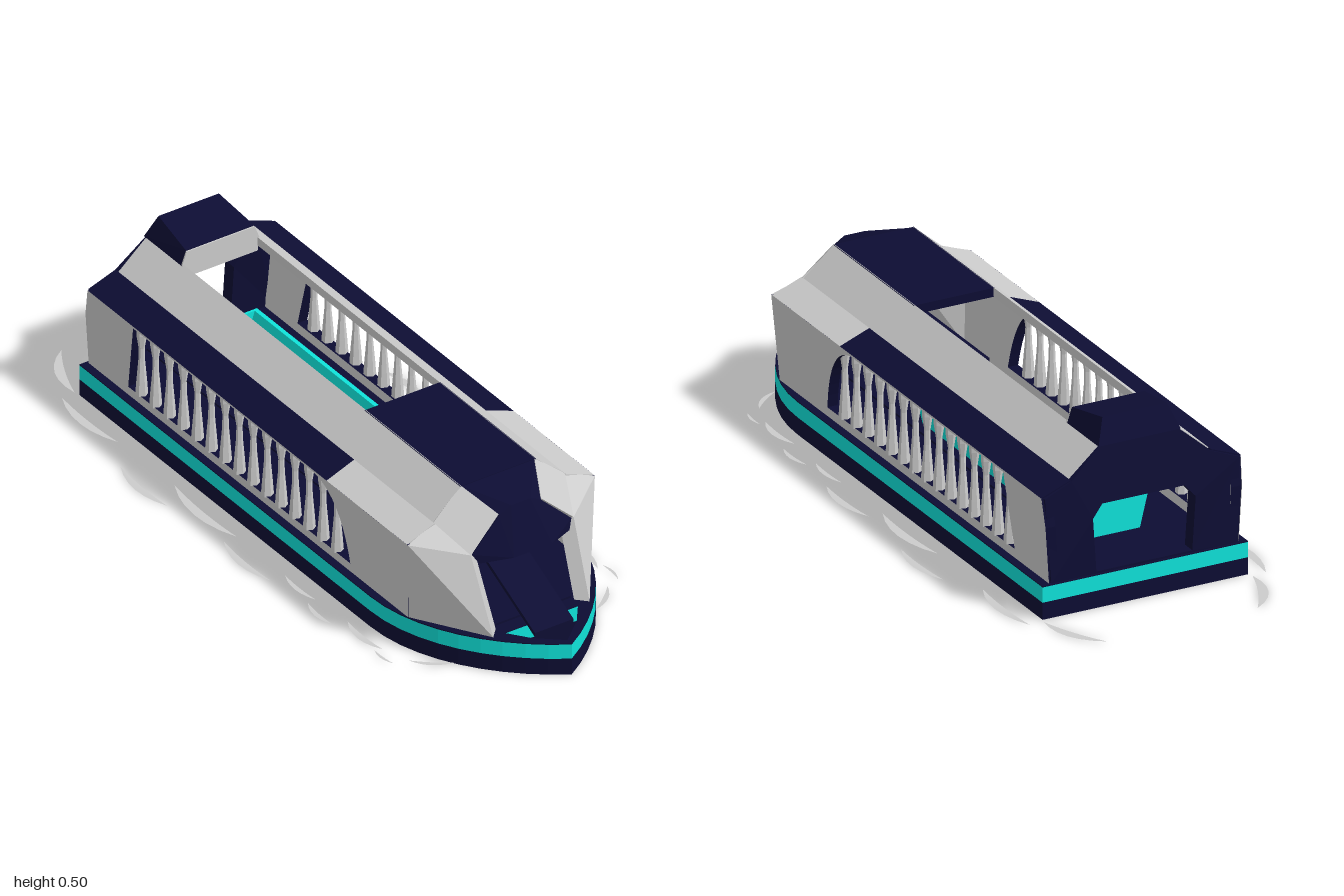
import * as THREE from 'three';
import { ConvexGeometry } from 'three/addons/geometries/ConvexGeometry.js';

const mat = (color) => new THREE.MeshStandardMaterial({ color, flatShading: true, side: THREE.DoubleSide });
const grey = mat(0xcccccc);
const navy = mat(0x0d0d33);
const teal = mat(0x0fe3da);

const V = (p) => new THREE.Vector3(...p);
const shapeOf = (pts) => new THREE.Shape(pts.map(([x, y]) => new THREE.Vector2(x, y)));
const extrude = (shape, depth) =>
  new THREE.ExtrudeGeometry(shape, { depth, bevelEnabled: false, curveSegments: 10 });
const flip = (p) => [-p[0], p[1], p[2]];

// Convex block; with "both" set the points are repeated on the other side
function block(points, both = false) {
  return new ConvexGeometry((both ? [...points, ...points.map(flip)] : points).map(V));
}

// Thin panel: a face plus the same face moved inwards
function panel(points, [dx, dy, dz]) {
  return block([...points, ...points.map(([x, y, z]) => [x + dx, y + dy, z + dz])]);
}

// Mirrored copy across x = 0, with the corner order turned round
function mirrored(geometry) {
  const g = geometry.index ? geometry.toNonIndexed() : geometry.clone();
  const groups = geometry.groups;
  g.scale(-1, 1, 1);
  for (const a of Object.values(g.attributes)) {
    for (let i = 0; i < a.count; i += 3) {
      for (let k = 0; k < a.itemSize; k++) {
        const t = a.getComponent(i + 1, k);
        a.setComponent(i + 1, k, a.getComponent(i + 2, k));
        a.setComponent(i + 2, k, t);
      }
    }
  }
  g.groups = groups.map((o) => ({ ...o }));
  g.computeVertexNormals();
  return g;
}

function hullShape(withWell) {
  const s = new THREE.Shape();
  s.moveTo(-0.3, -0.8);
  s.lineTo(0.3, -0.8);
  s.lineTo(0.3, 0.52);
  s.bezierCurveTo(0.3, 0.72, 0.17, 0.9, 0, 1);
  s.bezierCurveTo(-0.17, 0.9, -0.3, 0.72, -0.3, 0.52);
  s.closePath();
  if (withWell) {
    s.holes.push(new THREE.Path([[-0.115, 0.86], [0.115, 0.86], [0.07, 0.92], [0, 0.98], [-0.07, 0.92]]
      .map(([x, y]) => new THREE.Vector2(x, y))));
  }
  return s;
}

export function createModel() {
  const root = new THREE.Group();
  const add = (name, geometry, material, parent = root) => {
    const mesh = new THREE.Mesh(geometry, material);
    mesh.name = name;
    parent.add(mesh);
    return mesh;
  };
  const addPair = (name, geometry, material) => {
    add(name + 'Left', geometry, material);
    add(name + 'Right', mirrored(geometry), material);
  };

  // Hull in stacked layers, with an open well in the bow
  const layer = (name, y0, y1, material) =>
    add(name, extrude(hullShape(true), y1 - y0).rotateX(Math.PI / 2).translate(0, y1, 0), material);
  layer('lowerHull', 0, 0.048, navy);
  layer('hullBand', 0.048, 0.091, teal);
  layer('deckRim', 0.091, 0.094, navy);
  const bottom = navy.clone();
  bottom.side = THREE.FrontSide;
  add('hullBottom', new THREE.ShapeGeometry(hullShape(false), 10).rotateX(Math.PI / 2), bottom);
  add('deck', new THREE.BoxGeometry(0.24, 0.01, 1.6).translate(0, 0.095, 0.02), navy);

  // Side walls, each with one long window arched at its front end
  const wall = shapeOf([[-0.79, 0.094], [0.66, 0.094], [0.68, 0.33], [-0.775, 0.33], [-0.79, 0.25]]);
  const win = new THREE.Path();
  win.moveTo(0.4, 0.12);
  win.quadraticCurveTo(0.37, 0.31, 0.25, 0.324);
  win.lineTo(-0.57, 0.324);
  win.lineTo(-0.61, 0.12);
  win.closePath();
  wall.holes.push(win);
  const wallGeo = extrude(wall, 0.03).rotateY(-Math.PI / 2).translate(0.277, 0, 0);
  const wp = wallGeo.attributes.position;
  for (let i = 0; i < wp.count; i++) wp.setX(i, wp.getX(i) + (wp.getY(i) - 0.094) * 0.06);
  wallGeo.computeVertexNormals();
  addPair('sideWall', wallGeo, [grey, navy]);
  // Grey end strips close the wall over its rear edge
  addPair('rearEdge', panel([[0.277, 0.094, -0.792], [0.287, 0.25, -0.792], [0.291, 0.33, -0.777]],
    [-0.002, 0, 0.03]), grey);

  // Balusters in the windows
  const profile = [[0, 0.118], [0.017, 0.118], [0.014, 0.16], [0.009, 0.22], [0.008, 0.26], [0.014, 0.3], [0.014, 0.326], [0, 0.326]]
    .map(([r, y]) => new THREE.Vector2(r, y));
  const baluster = new THREE.LatheGeometry(profile, 6);
  for (const side of [1, -1]) {
    const row = new THREE.Group();
    row.name = side > 0 ? 'balustersLeft' : 'balustersRight';
    for (let i = 0; i < 15; i++) {
      add('baluster', baluster, grey, row).position.set(side * 0.268, 0, 0.325 - i * 0.0635);
    }
    root.add(row);
  }

  // Roof shoulders: a flat outer band and a steeper inner slope
  const band = [[0.291, 0.33], [0.205, 0.363], [0.195, 0.345], [0.26, 0.32]];
  const slope = [[0.205, 0.363], [0.115, 0.44], [0.115, 0.415], [0.195, 0.345]];
  const along = (pts, z0, z1) => extrude(shapeOf(pts), z1 - z0).translate(0, 0, z0);
  addPair('roofBandRear', along(band, -0.775, 0.31), navy);
  addPair('roofBandFront', along(band, 0.31, 0.675), grey);
  addPair('roofSlope', along(slope, -0.762, 0.665), grey);

  // Rear wall with a doorway, leaning in above
  const rear = shapeOf([[-0.272, 0.094], [0.272, 0.094], [0.284, 0.328], [0.204, 0.36], [0.115, 0.438],
    [-0.115, 0.438], [-0.204, 0.36], [-0.284, 0.328]]);
  rear.holes.push(new THREE.Path([[-0.14, 0.1], [0.14, 0.1], [0.15, 0.25], [0.12, 0.285], [-0.12, 0.285], [-0.15, 0.25]]
    .map(([x, y]) => new THREE.Vector2(x, y))));
  const rearGeo = extrude(rear, 0.04).translate(0, 0, -0.795);
  const rp = rearGeo.attributes.position;
  for (let i = 0; i < rp.count; i++) rp.setZ(i, rp.getZ(i) + Math.max(0, rp.getY(i) - 0.25) * 0.15);
  rearGeo.computeVertexNormals();
  add('rearWall', rearGeo, navy);

  // Raised rear roof with a pale front face
  add('rearRoof', block([[0.12, 0.437, -0.77], [0.12, 0.437, -0.6], [0.094, 0.504, -0.742], [0.106, 0.479, -0.6]], true), navy);
  add('rearRoofFace', block([[0.115, 0.4, -0.6], [0.12, 0.44, -0.6], [0.106, 0.477, -0.6],
    [0.115, 0.4, -0.596], [0.12, 0.44, -0.596], [0.106, 0.477, -0.596]], true), grey);

  // Front roof and the hood that falls away from it
  add('frontRoof', new THREE.BoxGeometry(0.235, 0.025, 0.435).translate(0, 0.4265, 0.4475), navy);
  add('frontRoofSlope', block([[0.115, 0.439, 0.66], [0.115, 0.414, 0.66], [0.065, 0.385, 0.765], [0.06, 0.37, 0.74], [0.03, 0.405, 0.768]], true), navy);
  add('hood', block([[0.03, 0.405, 0.768], [0.065, 0.385, 0.765], [0.155, 0.3, 0.772], [0.14, 0.275, 0.785],
    [0.06, 0.285, 0.825], [0.06, 0.37, 0.72], [0.13, 0.285, 0.75]], true), navy);

  // Faceted front corners
  const A0 = [0.276, 0.094, 0.66], A1 = [0.291, 0.33, 0.68], A2 = [0.205, 0.363, 0.67], A3 = [0.115, 0.44, 0.662];
  const F0 = [0.15, 0.094, 0.862], F1 = [0.16, 0.302, 0.775], F3 = [0.066, 0.388, 0.764];
  addPair('frontCorner', panel([A0, A1, F1, F0], [-0.028, 0, -0.03]), grey);
  addPair('frontShoulder', panel([A1, A2, F1], [-0.015, -0.02, -0.02]), grey);
  addPair('frontBrow', panel([A2, A3, F3, F1], [-0.005, -0.015, -0.02]), grey);

  // Inner landing and the ramp down to the bow
  add('landing', new THREE.BoxGeometry(0.12, 0.01, 0.4).translate(0, 0.28, 0.35), navy);
  add('ramp', panel([[0.06, 0.285, 0.55], [-0.06, 0.285, 0.55], [0.06, 0.105, 0.92], [-0.06, 0.105, 0.92]], [0, -0.012, 0]), navy);

  // Long trough-shaped bench
  const trough = [[-0.09, 0.1], [0.09, 0.1], [0.119, 0.217], [0.107, 0.217], [0.076, 0.112],
    [-0.076, 0.112], [-0.107, 0.217], [-0.119, 0.217]];
  add('bench', along(trough, -0.6, 0.23), teal);
  const endShape = [trough[0], trough[1], trough[2], trough[7]];
  add('benchRearEnd', along(endShape, -0.605, -0.598), teal);
  add('benchFrontEnd', along(endShape, 0.228, 0.235), teal);

  // Flat crescent ripples: start x, z, end x, z, outward bulge
  const ripples = [[0.22, -1, 0.305, -0.815, 0.05], [0.345, -0.815, 0.345, -0.56, 0.045], [0.405, -0.46, 0.41, -0.24, 0.04],
    [0.34, -0.31, 0.345, -0.02, 0.05], [0.385, -0.02, 0.39, 0.2, 0.04], [0.345, 0.2, 0.345, 0.34, 0.025],
    [0.37, 0.34, 0.375, 0.46, 0.025], [0.335, 0.47, 0.335, 0.63, 0.035], [0.355, 0.62, 0.35, 0.7, 0.015], [0.31, 0.71, 0.22, 0.785, 0.025]];
  for (const [x0, z0, x1, z1, b] of ripples) {
    const len = Math.hypot(x1 - x0, z1 - z0);
    const nx = (z1 - z0) / len, nz = (x0 - x1) / len;
    const mx = (x0 + x1) / 2, mz = (z0 + z1) / 2;
    const s = new THREE.Shape();
    s.moveTo(x0, z0);
    s.quadraticCurveTo(mx + nx * b * 1.4, mz + nz * b * 1.4, x1, z1);
    s.quadraticCurveTo(mx + nx * b * 0.3, mz + nz * b * 0.3, x0, z0);
    addPair('ripple', new THREE.ShapeGeometry(s, 6).rotateX(Math.PI / 2).translate(0, 0.001, 0), grey);
  }
  return root;
}
